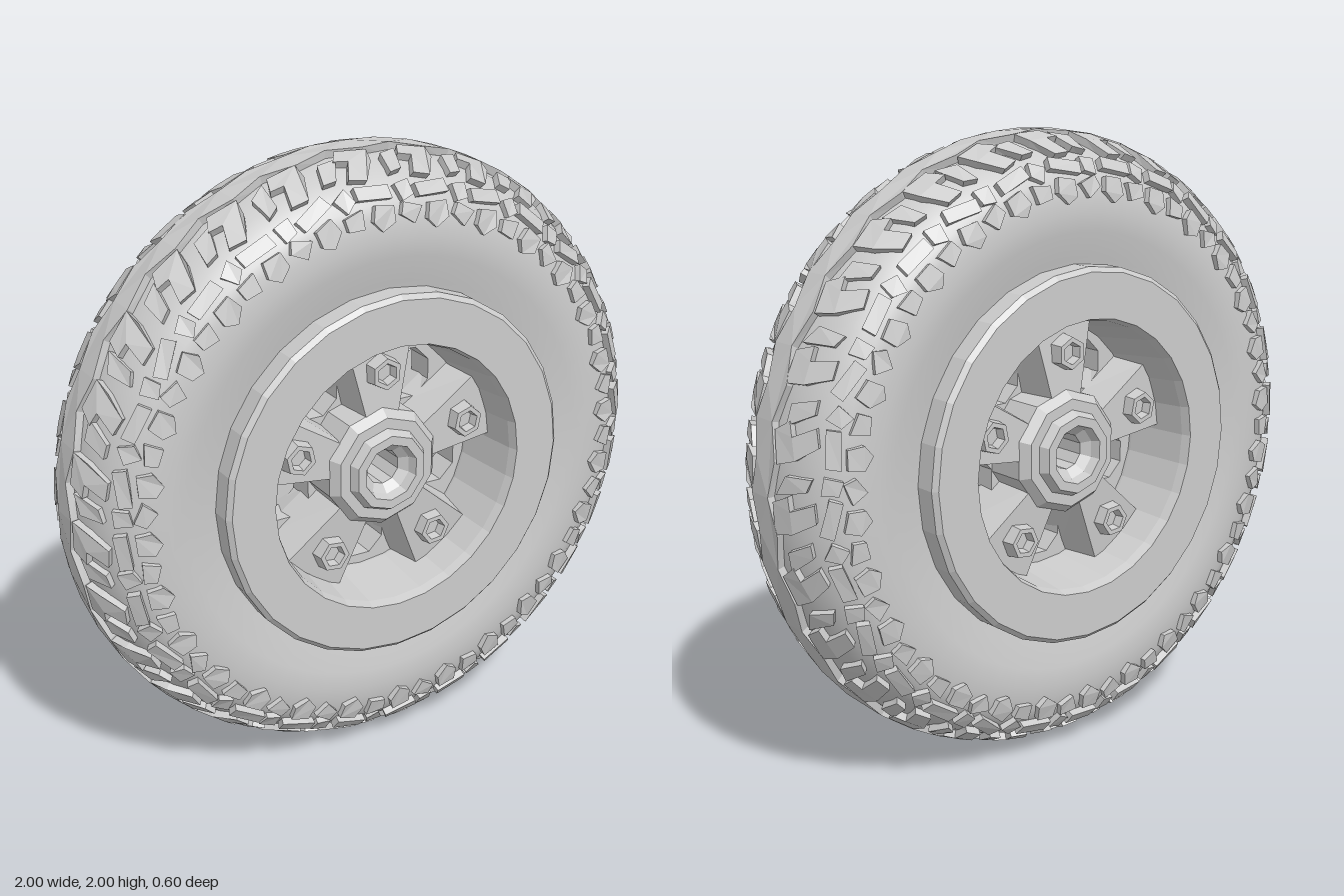
import * as THREE from 'three';
import { mergeGeometries } from 'three/addons/utils/BufferGeometryUtils.js';

const V = (x, y) => new THREE.Vector2(x, y);
const smooth = new THREE.MeshStandardMaterial({ color: 0xcccccc });
const faceted = new THREE.MeshStandardMaterial({ color: 0xcccccc, flatShading: true });

function add(parent, name, geometry, material = faceted) {
  const mesh = new THREE.Mesh(geometry, material);
  mesh.name = name;
  parent.add(mesh);
  return mesh;
}

// Lathe turned so that its axis is z; points are [radius, z]
function turned(points, sides) {
  return new THREE.LatheGeometry(points.map(p => V(p[0], p[1])), sides).rotateX(Math.PI / 2);
}

// Tyre cross-section: half-ellipse crown, phi = 0 at the middle of the tread
const CROWN = 0.8, RISE = 0.175, HALF = 0.24;
function onTyre(theta, phi, height) {
  const r = CROWN + (RISE + height) * Math.cos(phi);
  const z = (HALF + height) * Math.sin(phi);
  return [r * Math.cos(theta), r * Math.sin(theta), z];
}

// Tread block: outline in (theta, phi), extruded and wrapped onto the tyre
function treadBlock(outline, theta, side, height, twist = 0) {
  const cx = outline.reduce((s, p) => s + p[0], 0) / outline.length;
  const cy = outline.reduce((s, p) => s + p[1], 0) / outline.length;
  const c = Math.cos(twist), s = Math.sin(twist);
  const pts = outline.map(([u, v]) => {
    // turn in roughly equal lengths: one radian of phi is about 0.21 wide
    const a = u - cx, b = (v - cy) * 0.21;
    return V(theta + cx + a * c - b * s, side * (cy + (a * s + b * c) / 0.21));
  });
  const g = new THREE.ExtrudeGeometry(new THREE.Shape(pts), { depth: 1, bevelEnabled: false });
  const p = g.attributes.position;
  for (let i = 0; i < p.count; i++) {
    p.setXYZ(i, ...onTyre(p.getX(i), p.getY(i), p.getZ(i) > 0.5 ? height : -0.015));
  }
  return g;
}

function treadGeometry() {
  const count = 28, pitch = 2 * Math.PI / count;
  const hook = [[0, 0.24], [0.1, 0.2], [0.13, 0.42], [0.085, 0.46], [0.12, 0.78], [0.06, 0.82], [0.015, 0.5]];
  const wedge = [[0.12, 0.3], [0.185, 0.38], [0.2, 0.74], [0.155, 0.7]];
  const bar = [[0.01, 0.88], [0.13, 0.93], [0.125, 1.13], [0.0, 1.08]];
  const chip = [[0.15, 0.86], [0.205, 0.94], [0.185, 1.2], [0.14, 1.1]];
  const lug = [[0.01, 1.2], [0.08, 1.22], [0.09, 1.48], [0.05, 1.62], [0.0, 1.45]];
  const tooth = [[0.115, 1.26], [0.19, 1.22], [0.2, 1.42], [0.14, 1.54]];
  const parts = [];
  for (let i = 0; i < count; i++) {
    const t = i * pitch;
    // zigzag centre rib
    parts.push(treadBlock([[0, -0.13], [pitch / 2, -0.24], [pitch, -0.13],
      [pitch, 0.22], [pitch / 2, 0.11], [0, 0.22]], t, 1, 0.025));
    for (const side of [1, -1]) {
      const a = t + (side > 0 ? 0 : pitch / 2);
      const w = 0.22 * Math.sin(i * 2.4 + side);
      parts.push(
        treadBlock(hook, a, side, 0.024, w * 0.5),
        treadBlock(wedge, a, side, 0.022, w),
        treadBlock(bar, a, side, 0.024, w),
        treadBlock(chip, a, side, 0.02, -w),
        treadBlock(lug, a, side, 0.02, w),
        treadBlock(tooth, a, side, 0.018, -w * 1.5));
    }
  }
  return mergeGeometries(parts);
}

// Spoke along +y: widens towards the rim, narrower on its raised face
function spokeGeometry() {
  const g = new THREE.BoxGeometry(1, 1, 1);
  const p = g.attributes.position;
  for (let i = 0; i < p.count; i++) {
    const outer = p.getY(i) > 0, top = p.getZ(i) > 0;
    const half = outer ? (top ? 0.115 : 0.15) : (top ? 0.05 : 0.065);
    p.setXYZ(i, Math.sign(p.getX(i)) * half, outer ? 0.415 : 0.14, top ? (outer ? 0.165 : 0.19) : 0);
  }
  return g;
}

export function createModel() {
  const model = new THREE.Group();
  model.name = 'wheel';
  const wheel = new THREE.Group();
  wheel.name = 'wheelAssembly';
  wheel.position.y = 1;
  model.add(wheel);

  // Tyre carcass
  const section = [[0.56, -0.21], [0.62, -0.222], [0.7, -0.242], [0.76, -0.246]];
  for (let i = 0; i <= 16; i++) {
    const phi = -Math.PI / 2 + Math.PI * i / 16;
    section.push([CROWN + RISE * Math.cos(phi), HALF * Math.sin(phi)]);
  }
  section.push([0.76, 0.246], [0.7, 0.242], [0.62, 0.222], [0.56, 0.21]);
  add(wheel, 'tyre', turned(section, 56), smooth);
  add(wheel, 'tread', treadGeometry());

  // Rim flanges and barrel
  const half = [[0.6, 0.2], [0.6, 0.285], [0.585, 0.3], [0.44, 0.3], [0.43, 0.27], [0.405, 0.06]];
  const mirrored = half.map(([r, z]) => [r, -z]).reverse();
  add(wheel, 'rim', turned([[0.56, 0], [0.56, 0.2], ...half, ...mirrored, [0.56, -0.2], [0.56, 0]], 28));

  // Centre disc with five windows and an axle hole
  const disc = new THREE.Shape().absarc(0, 0, 0.425, 0, Math.PI * 2);
  const cut = (x, y, r, sides) => {
    const pts = [];
    for (let i = 0; i < sides; i++) {
      const a = (i + 0.5) * 2 * Math.PI / sides;
      pts.push(V(x + r * Math.cos(a), y + r * Math.sin(a)));
    }
    disc.holes.push(new THREE.Path(pts));
  };
  for (let i = 0; i < 5; i++) {
    const a = -Math.PI / 2 + i * Math.PI * 0.4;
    cut(0.29 * Math.cos(a), 0.29 * Math.sin(a), 0.09, 8);
  }
  cut(0, 0, 0.058, 10);
  const discGeometry = new THREE.ExtrudeGeometry(disc, { depth: 0.1, bevelEnabled: false, curveSegments: 14 });
  add(wheel, 'centreDisc', discGeometry.translate(0, 0, -0.05));

  // Spokes, bolts and hub, the same on both faces
  for (const side of ['front', 'back']) {
    const face = new THREE.Group();
    face.name = side + 'Face';
    if (side === 'back') face.rotation.y = Math.PI;
    wheel.add(face);
    for (let i = 0; i < 5; i++) {
      const arm = new THREE.Group();
      arm.name = 'spokeArm';
      arm.rotation.z = i * Math.PI * 0.4;
      face.add(arm);
      add(arm, 'spoke', spokeGeometry());
      const bolt = add(arm, 'bolt', turned([[0.06, 0], [0.052, 0.055], [0.036, 0.055], [0.03, 0.025], [0, 0.025]], 6));
      bolt.position.set(0, 0.32, 0.16);
    }
    add(face, 'hub', turned([[0.2, 0], [0.2, 0.185], [0.175, 0.215], [0.14, 0.215], [0.125, 0.245],
      [0.095, 0.245], [0.085, 0.215], [0.058, 0.19], [0.058, 0]], 10));
  }
  return model;
}
